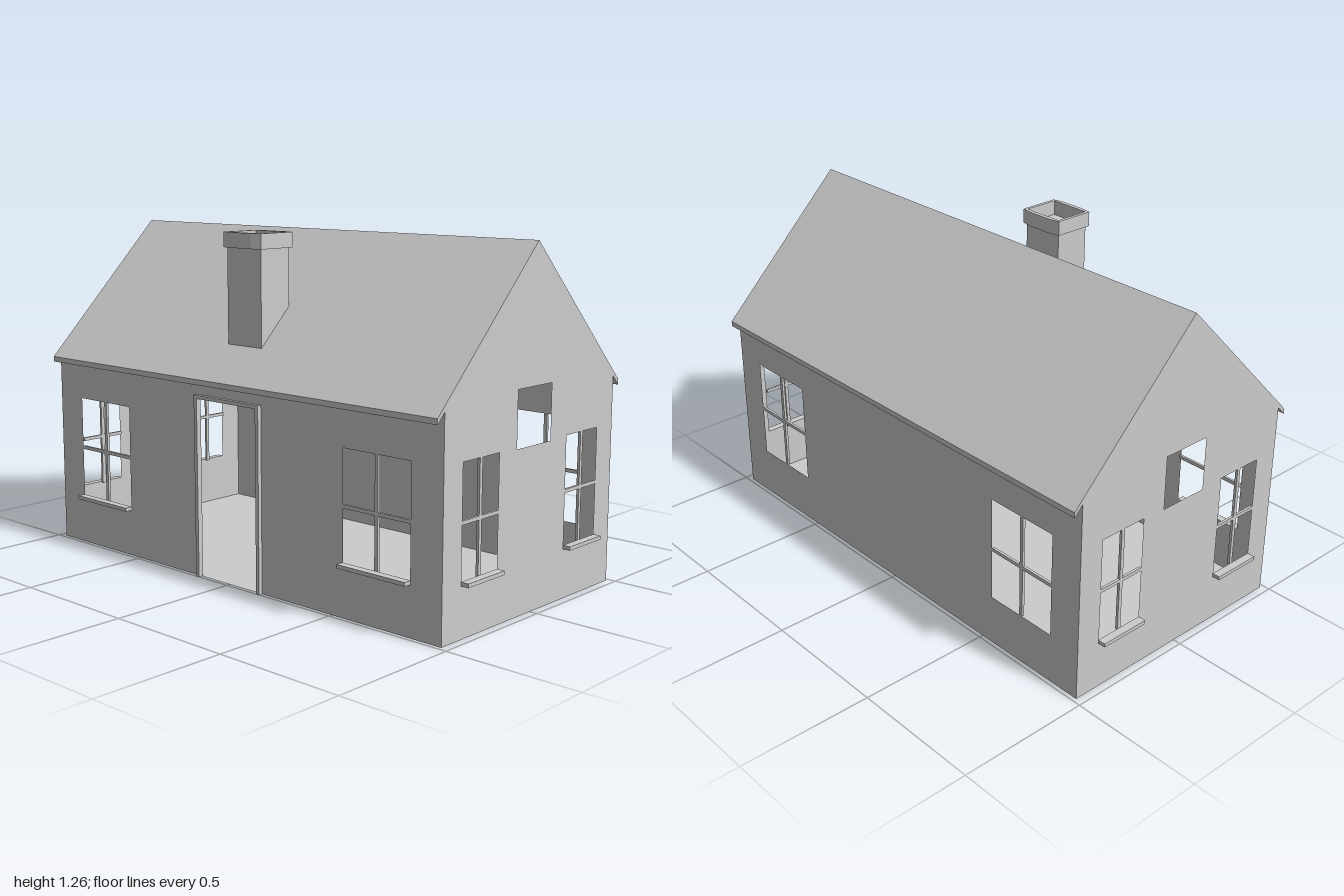
import * as THREE from 'three';

const HX = 0.97, HZ = 0.485;          // half length and half depth of the walls
const RIDGE = 1.262, SLAB = 0.02;     // ridge height, vertical roof thickness
const EAVE_Z = 0.52;
const WIN = { y0: 0.19, y1: 0.585 };

const solid = new THREE.MeshStandardMaterial({ color: 0xcccccc, flatShading: true });
const thin = new THREE.MeshStandardMaterial({ color: 0xcccccc, flatShading: true, side: THREE.DoubleSide });

function polygon(points, Type = THREE.Shape) {
  return new Type(points.map(([x, y]) => new THREE.Vector2(x, y)));
}

const rect = (x0, x1, y0, y1) => [[x0, y0], [x1, y0], [x1, y1], [x0, y1]];

function add(parent, name, geometry, material = solid) {
  const mesh = new THREE.Mesh(geometry, material);
  mesh.name = name;
  parent.add(mesh);
  return mesh;
}

function box(parent, name, x0, x1, y0, y1, z0, z1) {
  const mesh = add(parent, name, new THREE.BoxGeometry(x1 - x0, y1 - y0, z1 - z0));
  mesh.position.set((x0 + x1) / 2, (y0 + y1) / 2, (z0 + z1) / 2);
  return mesh;
}

// A thin wall in its own xy plane, facing +z, with openings, glazing bars and sills
function makeWall(name, outline, windows, openings, sills) {
  const wall = new THREE.Group();
  wall.name = name;
  const shape = polygon(outline);
  const holes = [...openings, ...windows.map(([a, b]) => [a, b, WIN.y0, WIN.y1])];
  for (const h of holes) shape.holes.push(polygon(rect(...h), THREE.Path));
  add(wall, name + 'Panel', new THREE.ShapeGeometry(shape), thin);
  for (const [a, b] of windows) {
    const mid = (a + b) / 2;
    box(wall, 'verticalBar', mid - 0.007, mid + 0.007, WIN.y0, WIN.y1, -0.01, 0);
    box(wall, 'horizontalBar', a, b, 0.38, 0.393, -0.01, 0);
    if (sills) box(wall, 'windowSill', a - 0.002, b + 0.002, 0.18, 0.194, 0, 0.03);
  }
  return wall;
}

export function createModel() {
  const house = new THREE.Group();
  house.name = 'house';
  const wallTop = RIDGE - SLAB - HZ;

  // Long walls: the front has a doorway and sills
  const longOutline = rect(-HX, HX, 0, wallTop);
  const longWindows = [[-0.84, -0.55], [0.55, 0.84]];

  const frontOutline = [[-HX, 0], [-0.15, 0], [-0.15, 0.667], [0.15, 0.667], [0.15, 0], [HX, 0], [HX, wallTop], [-HX, wallTop]];
  const front = makeWall('frontWall', frontOutline, longWindows, [], true);
  front.position.z = HZ;
  house.add(front);

  const back = makeWall('backWall', longOutline, longWindows, [], false);
  back.position.z = -HZ;
  back.rotation.y = Math.PI;
  house.add(back);

  // Gable walls with two windows and an attic opening
  const gableOutline = [[-HZ, 0], [HZ, 0], [HZ, wallTop], [0, RIDGE - SLAB], [-HZ, wallTop]];
  for (const side of [1, -1]) {
    const gable = makeWall(side > 0 ? 'leftGable' : 'rightGable', gableOutline,
      [[-0.387, -0.195], [0.195, 0.387]], [[-0.097, 0.097, 0.58, 0.78]], true);
    gable.position.x = side * HX;
    gable.rotation.y = side * Math.PI / 2;
    house.add(gable);
  }

  // Floor
  const floor = add(house, 'floor', new THREE.PlaneGeometry(2 * HX, 2 * HZ), thin);
  floor.rotation.x = Math.PI / 2;

  // Roof: a folded slab overhanging the long walls
  const eaveY = RIDGE - EAVE_Z;
  const roofShape = polygon([
    [-EAVE_Z, eaveY], [-EAVE_Z, eaveY - SLAB], [0, RIDGE - SLAB],
    [EAVE_Z, eaveY - SLAB], [EAVE_Z, eaveY], [0, RIDGE],
  ]);
  const roof = add(house, 'roof', new THREE.ExtrudeGeometry(roofShape, { depth: 2 * HX, bevelEnabled: false }));
  roof.rotation.y = Math.PI / 2;
  roof.position.x = -HX;

  // Door frame around the open doorway
  const frameShape = polygon([
    [-0.165, 0], [-0.15, 0], [-0.15, 0.667], [0.15, 0.667],
    [0.15, 0], [0.165, 0], [0.165, 0.68], [-0.165, 0.68],
  ]);
  const frame = add(house, 'doorFrame', new THREE.ExtrudeGeometry(frameShape, { depth: 0.02, bevelEnabled: false }));
  frame.position.z = HZ - 0.005;

  // Chimney shaft, its foot cut along the roof slope
  const chimney = new THREE.Group();
  chimney.name = 'chimney';
  house.add(chimney);
  const z0 = 0.26, z1 = 0.4, capY = 1.21;
  const shaftShape = polygon([[-z1, RIDGE - z1 - 0.005], [-z0, RIDGE - z0 - 0.005], [-z0, capY], [-z1, capY]]);
  const shaft = add(chimney, 'chimneyShaft', new THREE.ExtrudeGeometry(shaftShape, { depth: 0.17, bevelEnabled: false }));
  shaft.rotation.y = Math.PI / 2;
  shaft.position.x = -0.085;

  // Chimney cap: a hollow collar with slightly bowed long sides
  const capShape = polygon([
    [-0.095, -0.078], [-0.05, -0.087], [0.05, -0.087], [0.095, -0.078],
    [0.095, 0.078], [0.05, 0.087], [-0.05, 0.087], [-0.095, 0.078],
  ]);
  capShape.holes.push(polygon(rect(-0.082, 0.082, -0.07, 0.07), THREE.Path));
  const cap = add(chimney, 'chimneyCap', new THREE.ExtrudeGeometry(capShape, { depth: 0.055, bevelEnabled: false }));
  cap.rotation.x = -Math.PI / 2;
  cap.position.set(0, capY, (z0 + z1) / 2);

  return house;
}
